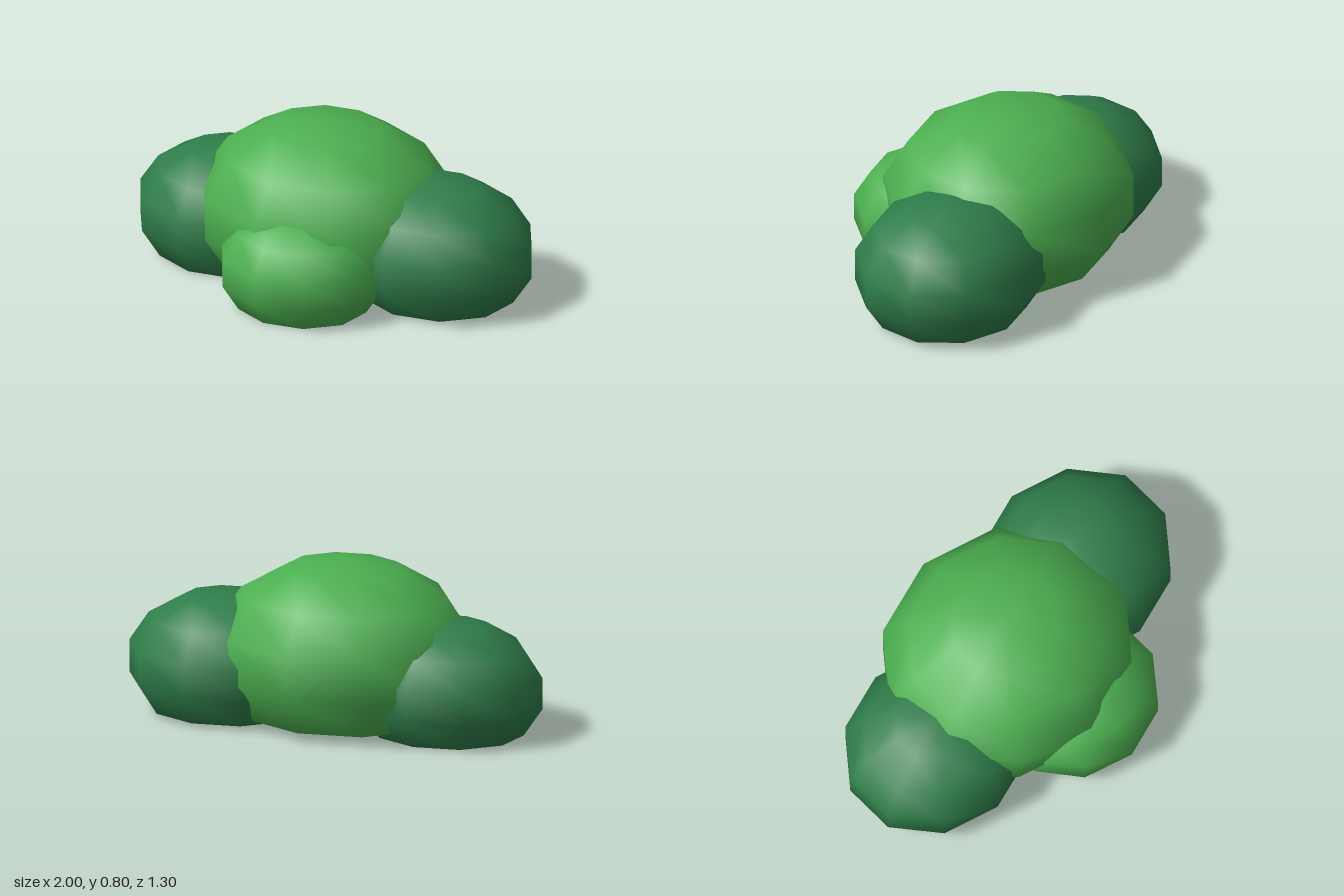
import * as THREE from 'three';

export function createModel() {
  const group = new THREE.Group();
  group.name = 'bush';

  const leafGreen = new THREE.MeshStandardMaterial({ color: 0x4caf50, side: THREE.DoubleSide });
  leafGreen.name = 'leaf green';
  const deepGreen = new THREE.MeshStandardMaterial({ color: 0x2f7d4a, side: THREE.DoubleSide });
  deepGreen.name = 'deep green';

  // Ten-sided smooth dome, five of seven rows, open underneath
  const dome = new THREE.SphereGeometry(1, 10, 5, 0, Math.PI * 2, 0, Math.PI * 5 / 7);
  dome.rotateY(Math.PI / 2);

  // One leafy clump: centre and radii
  function clump(name, material, centre, radii) {
    const mesh = new THREE.Mesh(dome, material);
    mesh.name = name;
    mesh.position.set(...centre);
    mesh.scale.set(...radii);
    group.add(mesh);
  }

  clump('mainClump', leafGreen, [-0.03, 0.337, -0.08], [0.653, 0.465, 0.585]);
  clump('frontClump', leafGreen, [0.09, 0.193, 0.27], [0.42, 0.303, 0.385]);
  clump('leftClump', deepGreen, [0.54, 0.242, -0.2], [0.496, 0.355, 0.446]);
  clump('rightClump', deepGreen, [-0.555, 0.219, -0.02], [0.48, 0.34, 0.427]);

  return group;
}
